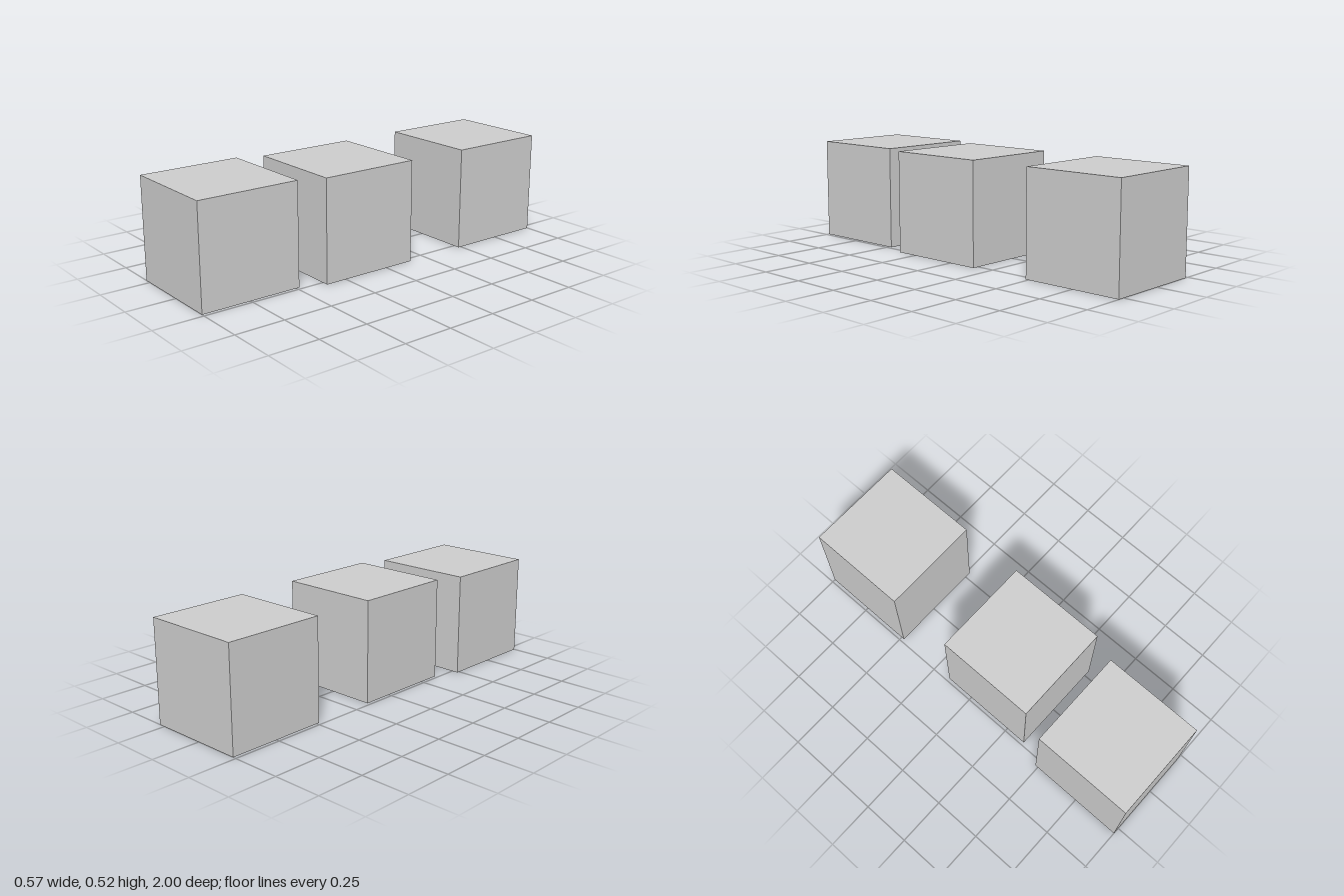
import * as THREE from 'three';

const SIZE = 0.516;

// Three equal cubes in a row, the front one shifted sideways
const CUBES = [
  { name: 'frontCube', x: -0.025, z: 0.742 },
  { name: 'middleCube', x: 0.025, z: 0.103 },
  { name: 'backCube', x: 0.025, z: -0.742 },
];

export function createModel() {
  const group = new THREE.Group();
  group.name = 'cubeRow';
  const geometry = new THREE.BoxGeometry(SIZE, SIZE, SIZE);
  const material = new THREE.MeshStandardMaterial({ color: 0xcccccc });

  for (const { name, x, z } of CUBES) {
    const cube = new THREE.Mesh(geometry, material);
    cube.name = name;
    cube.position.set(x, SIZE / 2, z);
    group.add(cube);
  }
  return group;
}
